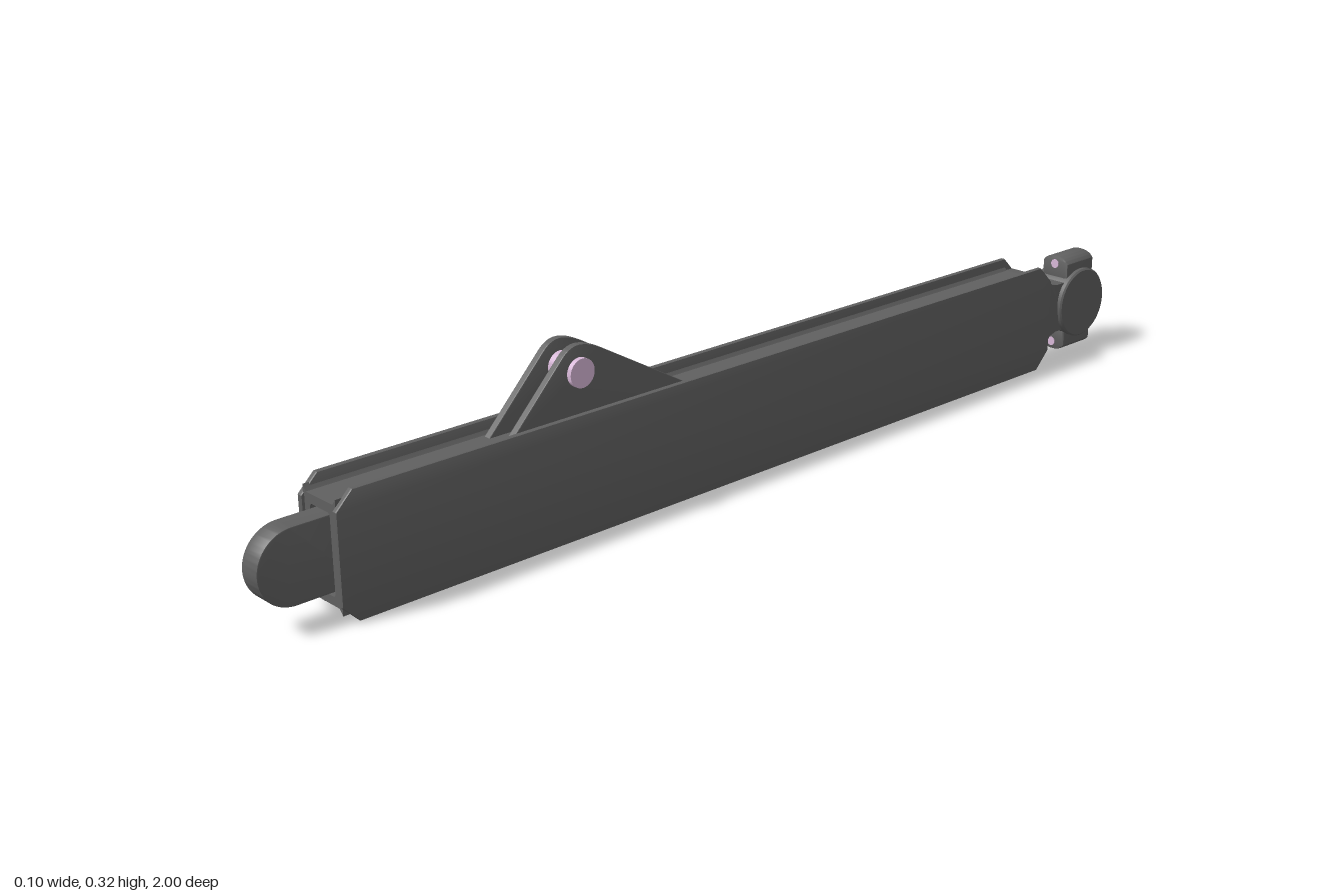
import * as THREE from 'three';
import { toCreasedNormals } from 'three/addons/utils/BufferGeometryUtils.js';

const steel = new THREE.MeshStandardMaterial({ color: 0x606060 });
const pinMat = new THREE.MeshStandardMaterial({ color: 0xd8b8d8 });
const MID = 0.109; // height of the beam's centre line

const outline = (pts) => new THREE.Shape(pts.map(([a, b]) => new THREE.Vector2(a, b)));

function extrude(shape, depth, bevel = 0) {
  const g = new THREE.ExtrudeGeometry(shape, {
    depth: depth - 2 * bevel, curveSegments: 20, bevelEnabled: bevel > 0,
    bevelThickness: bevel, bevelSize: bevel, bevelOffset: -bevel, bevelSegments: 2,
  });
  return g.translate(0, 0, -depth / 2 + bevel);
}
// profile drawn as (z, y), thickness along x, centred on x
const sideways = (shape, width, bevel) => extrude(shape, width, bevel).rotateY(-Math.PI / 2);

export function createModel() {
  const model = new THREE.Group();
  const add = (name, geo, mat = steel) => {
    const m = new THREE.Mesh(toCreasedNormals(geo, 0.5), mat);
    m.name = name;
    model.add(m);
    return m;
  };

  // Core with small fillets against the side plates
  const section = () => outline([
    [-0.043, 0.015], [-0.041, 0.018], [-0.035, 0.025], [0.035, 0.025], [0.041, 0.018], [0.043, 0.015],
    [0.043, 0.203], [0.041, 0.2], [0.035, 0.193], [-0.035, 0.193], [-0.041, 0.2], [-0.043, 0.203],
  ]);
  add('beamCore', extrude(section(), 1.61)).position.z = 0.035;

  // Front frame with the socket opening
  const frame = section();
  frame.holes.push(new THREE.Path([
    [-0.022, 0.04], [-0.026, 0.044], [-0.026, 0.173], [-0.022, 0.177],
    [0.022, 0.177], [0.026, 0.173], [0.026, 0.044], [0.022, 0.04],
  ].map(([x, y]) => new THREE.Vector2(x, y))));
  add('frontFrame', extrude(frame, 0.035)).position.z = 0.8575;

  // Side plates and the pair of lugs
  const plate = outline([
    [0.85, 0.002], [0.88, 0.032], [0.88, 0.186], [0.85, 0.216],
    [-0.77, 0.216], [-0.805, 0.181], [-0.805, 0.037], [-0.77, 0.002],
  ]);
  const lug = new THREE.Shape();
  lug.moveTo(0.55, 0.19);
  lug.lineTo(0.433, 0.312);
  lug.quadraticCurveTo(0.418, 0.327, 0.4, 0.327);
  lug.quadraticCurveTo(0.382, 0.327, 0.355, 0.313);
  lug.lineTo(0.14, 0.19);
  for (const s of [-1, 1]) {
    add(s > 0 ? 'leftPlate' : 'rightPlate', sideways(plate, 0.012, 0.003)).position.x = s * 0.046;
    add(s > 0 ? 'leftLug' : 'rightLug', sideways(lug, 0.014, 0.002)).position.x = s * 0.024;
  }

  // Cross pin through the lugs
  const pin = new THREE.CylinderGeometry(0.025, 0.025, 0.08, 32).rotateZ(Math.PI / 2);
  add('lugPin', pin, pinMat).position.set(0, 0.281, 0.4);

  // Rounded front tongue
  const tongue = new THREE.Shape();
  tongue.moveTo(0.82, MID - 0.063);
  tongue.lineTo(0.937, MID - 0.063);
  tongue.absarc(0.937, MID, 0.063, -Math.PI / 2, Math.PI / 2, false);
  tongue.lineTo(0.82, MID + 0.063);
  add('frontTongue', sideways(tongue, 0.041, 0.002));

  // Tapered neck to the rear joint, narrowing in width as well as height
  const half = [[-0.765, 0.084], [-0.795, 0.082], [-0.815, 0.066], [-0.835, 0.054], [-0.855, 0.05], [-0.89, 0.05]];
  const neck = sideways(outline([
    ...half.map(([z, h]) => [z, MID + h]),
    ...half.slice().reverse().map(([z, h]) => [z, MID - h]),
  ]), 2);
  const p = neck.attributes.position;
  for (let i = 0; i < p.count; i++) {
    const t = THREE.MathUtils.smoothstep(-p.getZ(i), 0.79, 0.85);
    p.setX(i, p.getX(i) * THREE.MathUtils.lerp(0.041, 0.03, t));
  }
  neck.computeVertexNormals();
  add('rearNeck', neck);

  // Rear joint drum
  const drum = new THREE.LatheGeometry([
    [0, -0.041], [0.068, -0.041], [0.071, -0.038], [0.071, 0.038], [0.068, 0.041], [0, 0.041],
  ].map(([r, y]) => new THREE.Vector2(r, y)), 40).rotateZ(Math.PI / 2);
  add('rearDrum', drum).position.set(0, MID, -0.926);

  // Domed bolt bosses above and below the drum
  for (const s of [-1, 1]) {
    const boss = new THREE.Shape();
    const y = (h) => MID + s * h;
    boss.moveTo(-0.031, y(0.05));
    boss.lineTo(-0.031, y(0.086));
    boss.bezierCurveTo(-0.02, y(0.104), 0.02, y(0.104), 0.031, y(0.086));
    boss.lineTo(0.031, y(0.05));
    const name = s > 0 ? 'upper' : 'lower';
    add(name + 'Boss', extrude(boss, 0.086, 0.004)).position.z = -0.926;
    const bolt = new THREE.CylinderGeometry(0.009, 0.009, 0.09, 20).rotateX(Math.PI / 2);
    add(name + 'Bolt', bolt, pinMat).position.set(0, y(0.083), -0.926);
  }
  return model;
}
